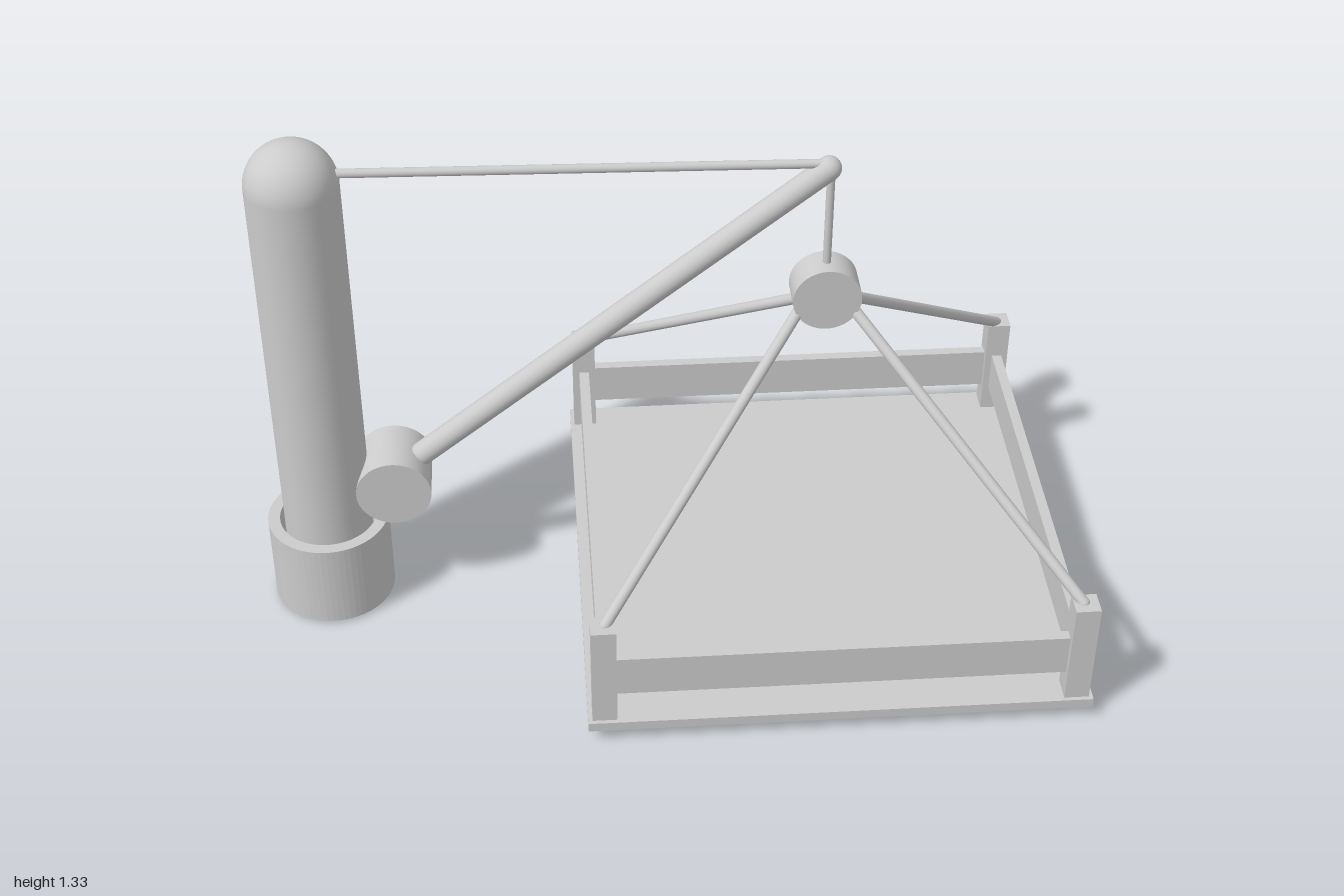
import * as THREE from 'three';

const material = new THREE.MeshStandardMaterial({ color: 0xcccccc });

export function createModel() {
  const model = new THREE.Group();

  const add = (name, geometry, x = 0, y = 0, z = 0, parent = model) => {
    const mesh = new THREE.Mesh(geometry, material);
    mesh.name = name;
    mesh.position.set(x, y, z);
    parent.add(mesh);
    return mesh;
  };

  // Round-ended rod between two points
  const rod = (name, from, to, radius, parent = model) => {
    const a = new THREE.Vector3(...from);
    const b = new THREE.Vector3(...to);
    const dir = b.clone().sub(a);
    const mesh = add(name, new THREE.CapsuleGeometry(radius, dir.length(), 8, 20), 0, 0, 0, parent);
    mesh.position.copy(a).add(b).multiplyScalar(0.5);
    mesh.quaternion.setFromUnitVectors(new THREE.Vector3(0, 1, 0), dir.normalize());
    return mesh;
  };

  // Drum with its axis along z
  const drum = (name, x, y, radius, width) => {
    const geometry = new THREE.CylinderGeometry(radius, radius, width, 48).rotateX(Math.PI / 2);
    return add(name, geometry, x, y, 0);
  };

  // Mast with a domed top
  const mastX = -0.85;
  add('mast', new THREE.CylinderGeometry(0.11, 0.11, 1.22, 48), mastX, 0.61, 0);
  add('mastDome', new THREE.SphereGeometry(0.11, 48, 16, 0, Math.PI * 2, 0, Math.PI / 2), mastX, 1.22, 0);

  // Hollow collar around the foot of the mast
  const ring = new THREE.Shape().absarc(0, 0, 0.152, 0, Math.PI * 2);
  ring.holes.push(new THREE.Path().absarc(0, 0, 0.122, 0, Math.PI * 2, true));
  const collar = new THREE.ExtrudeGeometry(ring, { depth: 0.23, bevelEnabled: false, curveSegments: 32 });
  add('baseCollar', collar.rotateX(-Math.PI / 2), mastX, 0.006, 0);

  // Boom, its pivot and the tie back to the mast
  const hookX = 0.39;
  drum('boomPivot', -0.675, 0.355, 0.093, 0.157);
  rod('boom', [-0.6, 0.42, 0], [hookX - 0.006, 1.212, 0], 0.03);
  rod('boomTie', [-0.79, 1.247, 0], [hookX - 0.006, 1.225, 0], 0.011);

  // Hoist line and sling drum
  rod('hoistLine', [hookX, 1.21, 0], [hookX, 0.9, 0], 0.01);
  drum('slingDrum', hookX, 0.868, 0.083, 0.088);

  // Suspended platform
  const platform = new THREE.Group();
  platform.name = 'platform';
  platform.position.x = hookX;
  model.add(platform);
  add('deck', new THREE.BoxGeometry(1.22, 0.025, 1.22), 0, 0.0475, 0, platform);

  const corner = 0.57;
  for (const sx of [-1, 1]) {
    for (const sz of [-1, 1]) {
      add('cornerPost', new THREE.BoxGeometry(0.06, 0.28, 0.06), sx * corner, 0.2, sz * corner, platform);
      rod('sling', [sx * 0.065, 0.83, sz * 0.025], [sx * 0.565, 0.337, sz * 0.565], 0.014, platform);
    }
    const railLength = 2 * corner - 0.06;
    add('sideRail', new THREE.BoxGeometry(0.026, 0.11, railLength), sx * corner, 0.185, 0, platform);
    add('crossRail', new THREE.BoxGeometry(railLength, 0.11, 0.026), 0, 0.185, sx * corner, platform);
  }

  return model;
}
